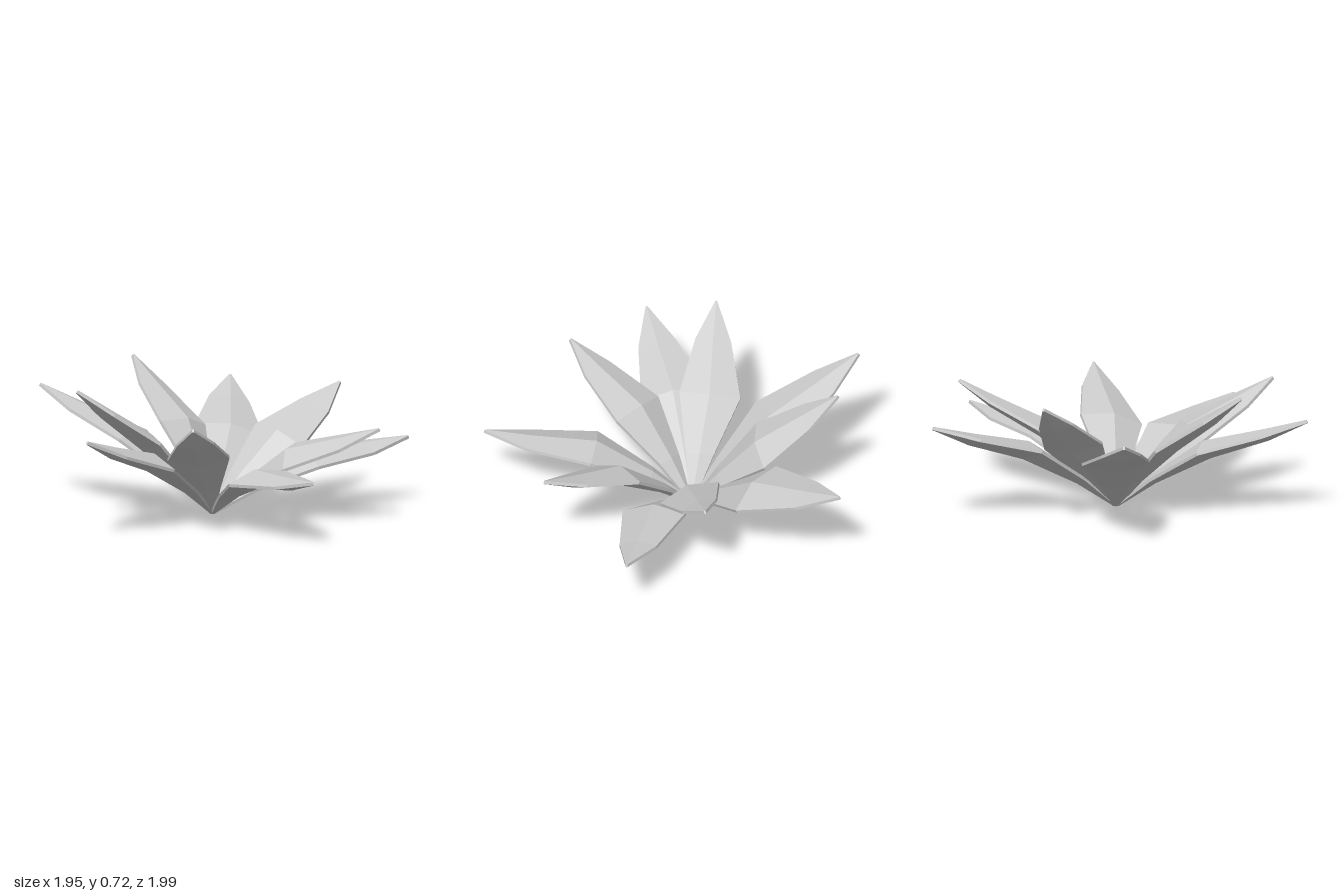
import * as THREE from 'three';

// Leaf tips [x, y, z], half width, roll about the length, sideways sway
const LEAVES = [
  [0.29, 0.34, -0.99, 0.168, 0.15, -0.038],
  [-0.12, 0.58, -0.87, 0.160, 0.30, -0.043],
  [-0.82, 0.53, -0.71, 0.181, 0.22, -0.042],
  [0.69, 0.50, -0.47, 0.168, 0.28, -0.031],
  [-0.97, 0.60, 0.43, 0.174, 0.04, -0.023],
  [-0.84, 0.71, -0.08, 0.159, 0.26, -0.049],
  [-0.25, 0.71, 0.77, 0.158, 0.07, -0.033],
  [0.10, 0.52, 0.99, 0.169, -0.15, -0.016],
  [0.51, 0.60, 0.62, 0.160, 0.07, -0.025],
  [0.97, 0.34, 0.20, 0.168, 0.12, -0.020],
];

// Stations along a leaf: [position, relative width, relative arch, relative sway]
const STATIONS = [
  [0, 0.09, 0, 0],
  [0.19, 0.45, 0.62, 0.45],
  [0.47, 1, 1, 1],
  [0.785, 0.59, 0.28, 0.35],
  [1, 0.03, 0, 0],
];

function leafGeometry([x, y, z, halfWidth, roll, sway]) {
  const tip = new THREE.Vector3(x, y, z);
  const base = new THREE.Vector3(-0.09, 0.012, 0);
  const flat = new THREE.Vector3(x - base.x, 0, z).normalize();
  base.addScaledVector(flat, 0.01);
  const dir = tip.clone().sub(base).normalize();
  const level = new THREE.Vector3(0, 1, 0).cross(flat).normalize();
  const side = level.clone().applyAxisAngle(dir, -roll).normalize();
  // The rolled side rises on the +side edge
  if (side.y * roll < 0) side.copy(level).applyAxisAngle(dir, roll);
  const up = dir.clone().cross(side).normalize();
  const arch = 0.14 - 0.1 * y;
  const edge = 0.008;
  const positions = [];
  const index = [];

  // Six-point section: right edge, ridge, left edge, keel
  for (const [t, width, bend, drift] of STATIONS) {
    const w = halfWidth * width;
    const centre = base.clone().lerp(tip, t).addScaledVector(level, sway * drift);
    centre.y += arch * bend;
    const section = [
      [w, -edge], [w, edge], [0, edge + 0.042 * width],
      [-w, edge], [-w, -edge], [0, -edge - 0.042 * width],
    ];
    for (const [s, n] of section) {
      positions.push(...centre.clone().addScaledVector(side, s).addScaledVector(up, n).toArray());
    }
  }
  for (let r = 0; r < STATIONS.length - 1; r++) {
    for (let i = 0; i < 6; i++) {
      const a = r * 6 + i;
      const b = r * 6 + (i + 1) % 6;
      index.push(a, b, b + 6, a, b + 6, a + 6);
    }
  }
  // End caps
  const last = (STATIONS.length - 1) * 6;
  for (let i = 1; i < 5; i++) {
    index.push(0, i + 1, i, last, last + i, last + i + 1);
  }
  const geometry = new THREE.BufferGeometry();
  geometry.setAttribute('position', new THREE.Float32BufferAttribute(positions, 3));
  geometry.setIndex(index);
  const faceted = geometry.toNonIndexed();
  faceted.computeVertexNormals();
  return faceted;
}

export function createModel() {
  const plant = new THREE.Group();
  plant.name = 'leafRosette';
  const material = new THREE.MeshStandardMaterial({ color: 0xcccccc, flatShading: true });
  LEAVES.forEach((leaf, i) => {
    const mesh = new THREE.Mesh(leafGeometry(leaf), material);
    mesh.name = `leaf${i + 1}`;
    plant.add(mesh);
  });
  return plant;
}
